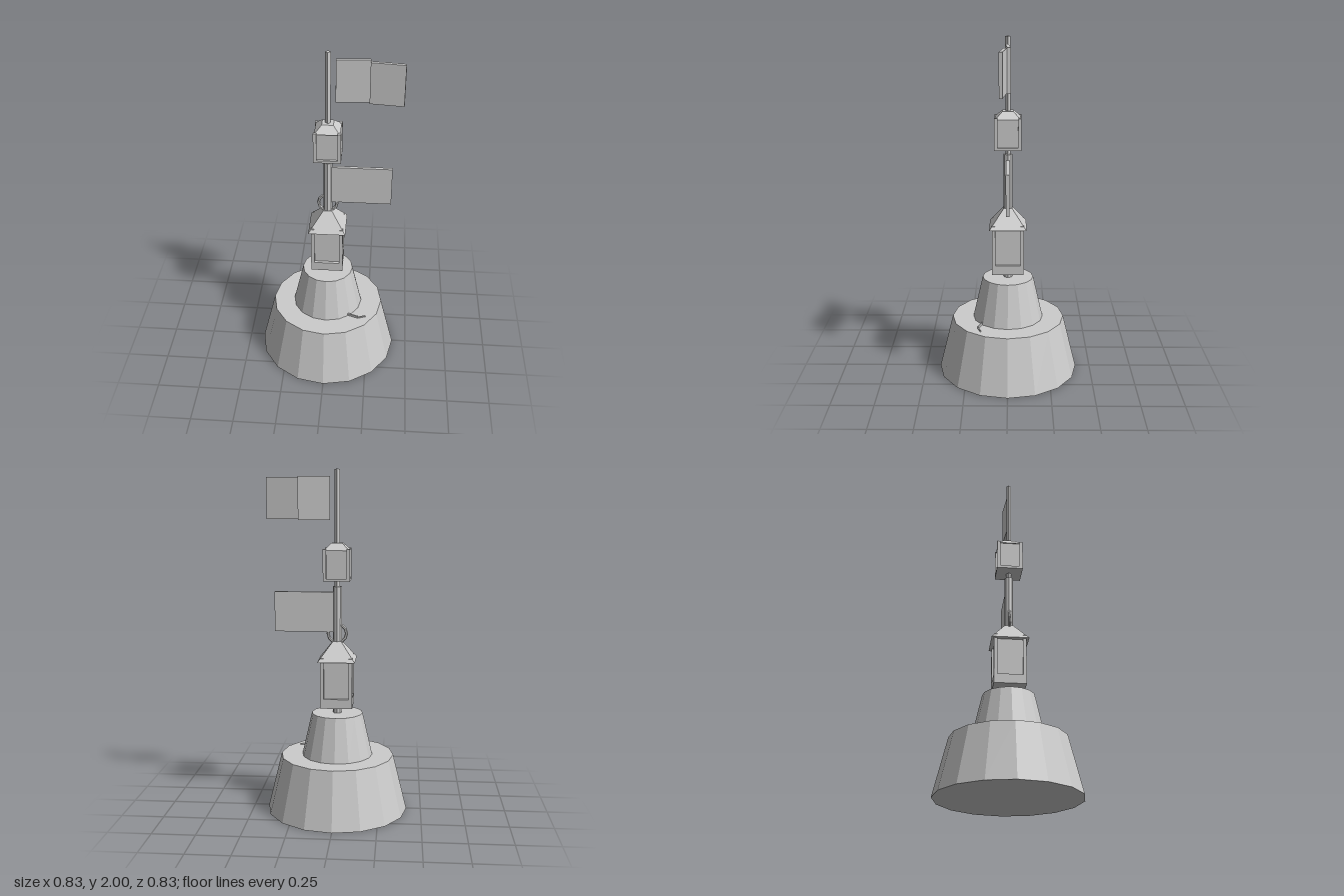
import * as THREE from 'three';

export function createModel() {
  const group = new THREE.Group();
  const grey = new THREE.MeshStandardMaterial({ color: 0xcccccc });
  grey.name = 'plainGrey';
  grey.flatShading = true;

  const add = (name, geometry, x = 0, y = 0, z = 0, parent = group) => {
    const mesh = new THREE.Mesh(geometry, grey);
    mesh.name = name;
    mesh.position.set(x, y, z);
    parent.add(mesh);
    return mesh;
  };

  // Upright cylinder or cone between two heights
  const column = (name, rBottom, rTop, y0, y1, sides, parent) =>
    add(name, new THREE.CylinderGeometry(rTop, rBottom, y1 - y0, sides), 0, (y0 + y1) / 2, 0, parent);

  // Square truncated pyramid given by half widths
  const roof = (half, topHalf, y0, y1, parent) => {
    const g = new THREE.CylinderGeometry(topHalf * Math.SQRT2, half * Math.SQRT2, y1 - y0, 4);
    g.rotateY(Math.PI / 4);
    add('lanternRoof', g, 0, (y0 + y1) / 2, 0, parent);
  };

  // Lantern: floor, four corner posts, recessed panes and a roof
  const lantern = (name, o) => {
    const part = new THREE.Group();
    part.name = name;
    group.add(part);
    const floorH = o.floor - o.y0;
    add('lanternFloor', new THREE.BoxGeometry(o.half * 2, floorH, o.half * 2), 0, o.y0 + floorH / 2, 0, part);
    const paneH = o.eave - o.floor;
    add('lanternPanes', new THREE.BoxGeometry(o.pane * 2, paneH, o.pane * 2), 0, o.floor + paneH / 2, 0, part);
    const postH = o.postTop - o.floor;
    const c = o.half - o.post / 2;
    for (const sx of [-1, 1]) {
      for (const sz of [-1, 1]) {
        add('lanternPost', new THREE.BoxGeometry(o.post, postH, o.post), sx * c, o.floor + postH / 2, sz * c, part);
      }
    }
    roof(o.roof, o.roofTop, o.eave, o.peak, part);
  };

  // Thin upright panel between two points on the ground plan
  const panel = (name, x0, z0, x1, z1, y0, y1, thick, parent) => {
    const length = Math.hypot(x1 - x0, z1 - z0);
    const mesh = add(name, new THREE.BoxGeometry(length, y1 - y0, thick),
      (x0 + x1) / 2, (y0 + y1) / 2, (z0 + z1) / 2, parent);
    mesh.rotation.y = -Math.atan2(z1 - z0, x1 - x0);
  };

  // Stepped base
  column('lowerBase', 0.415, 0.333, 0, 0.333, 16);
  column('upperBase', 0.208, 0.15, 0.333, 0.587, 16);

  // Poles
  column('thickPole', 0.026, 0.026, 0.587, 1.335, 8);
  column('thinPole', 0.015, 0.015, 1.335, 2, 4);

  // Lanterns
  lantern('lowerLantern', {
    y0: 0.63, floor: 0.685, eave: 0.905, postTop: 0.928, peak: 1.015,
    half: 0.093, pane: 0.076, post: 0.02, roof: 0.108, roofTop: 0.025,
  });
  lantern('upperLantern', {
    y0: 1.37, floor: 1.385, eave: 1.545, postTop: 1.553, peak: 1.585,
    half: 0.077, pane: 0.064, post: 0.019, roof: 0.072, roofTop: 0.032,
  });

  // Ring above the lower lantern
  add('hangingRing', new THREE.TorusGeometry(0.054, 0.009, 6, 12), 0, 1.06, 0);

  // Flags
  panel('lowerFlag', 0.02, 0, 0.365, 0, 1.07, 1.303, 0.019);
  panel('upperFlagInner', 0.042, 0.006, 0.225, -0.007, 1.715, 1.96, 0.019);
  panel('upperFlagOuter', 0.225, 0.014, 0.41, 0.035, 1.718, 1.956, 0.019);

  // Small bent strip lying on the base ledge
  panel('bentStripLong', 0.13, 0.15, 0.197, 0.174, 0.333, 0.347, 0.007);
  panel('bentStripShort', 0.195, 0.174, 0.24, 0.157, 0.333, 0.341, 0.006);

  return group;
}
